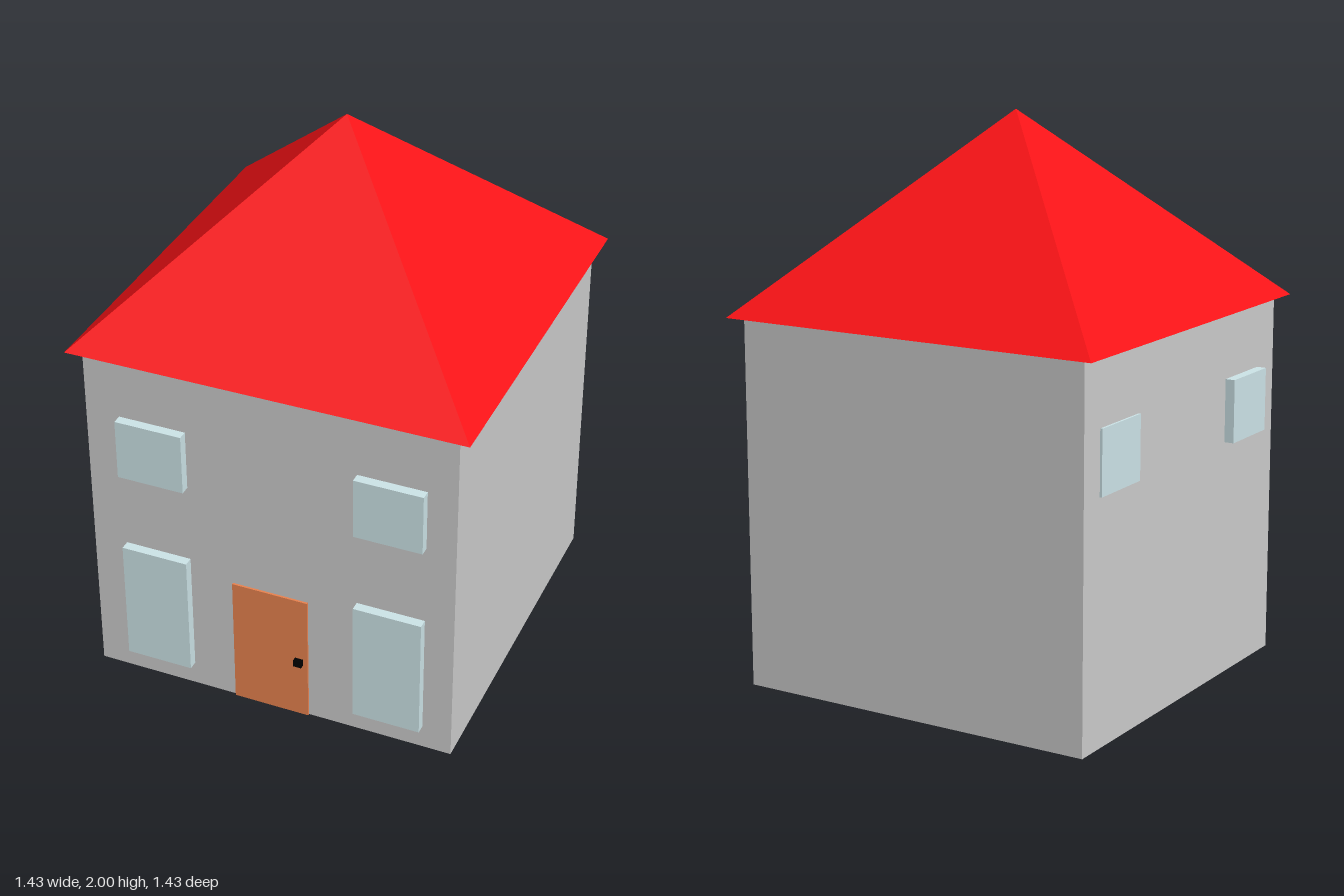
import * as THREE from 'three';

const paint = (color) => new THREE.MeshStandardMaterial({ color, flatShading: true });

// Box given by its extents along each axis
function block(name, material, [x0, x1], [y0, y1], [z0, z1]) {
  const mesh = new THREE.Mesh(new THREE.BoxGeometry(x1 - x0, y1 - y0, z1 - z0), material);
  mesh.position.set((x0 + x1) / 2, (y0 + y1) / 2, (z0 + z1) / 2);
  mesh.name = name;
  return mesh;
}

export function createModel() {
  const house = new THREE.Group();
  house.name = 'house';
  const glass = paint(0xcde4e8);
  const half = 0.67, eaves = 1.315, inset = 0.66, proud = 0.705;
  const upper = [0.85, 1.075], lower = [0.09, 0.55];

  house.add(block('walls', paint(0xcccccc), [-half, half], [0, eaves], [-half, half]));

  // Pyramid roof, turned very slightly off square
  const roof = new THREE.Mesh(
    new THREE.ConeGeometry(1.01, 2 - eaves, 4, 1, false, Math.PI / 4), paint(0xfb1216));
  roof.position.y = (2 + eaves) / 2;
  roof.rotation.y = 0.004;
  roof.name = 'roof';
  house.add(roof);

  // Front windows, two per floor
  for (const span of [[-0.545, -0.3], [0.32, 0.565]]) {
    house.add(block('upperWindow', glass, span, upper, [inset, proud]));
    house.add(block('lowerWindow', glass, span, lower, [inset, proud]));
  }

  // Side windows on the -x wall; the rear one is nearly flush
  house.add(block('sideWindowFront', glass, [-proud, -inset], upper, [0.3, 0.545]));
  house.add(block('sideWindowRear', glass, [-0.678, -inset], upper, [-0.57, -0.32]));

  // Door and knob
  house.add(block('door', paint(0xe8824f), [-0.14, 0.14], [0, 0.495], [inset, 0.678]));
  house.add(block('doorKnob', paint(0x000000), [0.093, 0.123], [0.22, 0.246], [0.67, 0.695]));

  return house;
}
